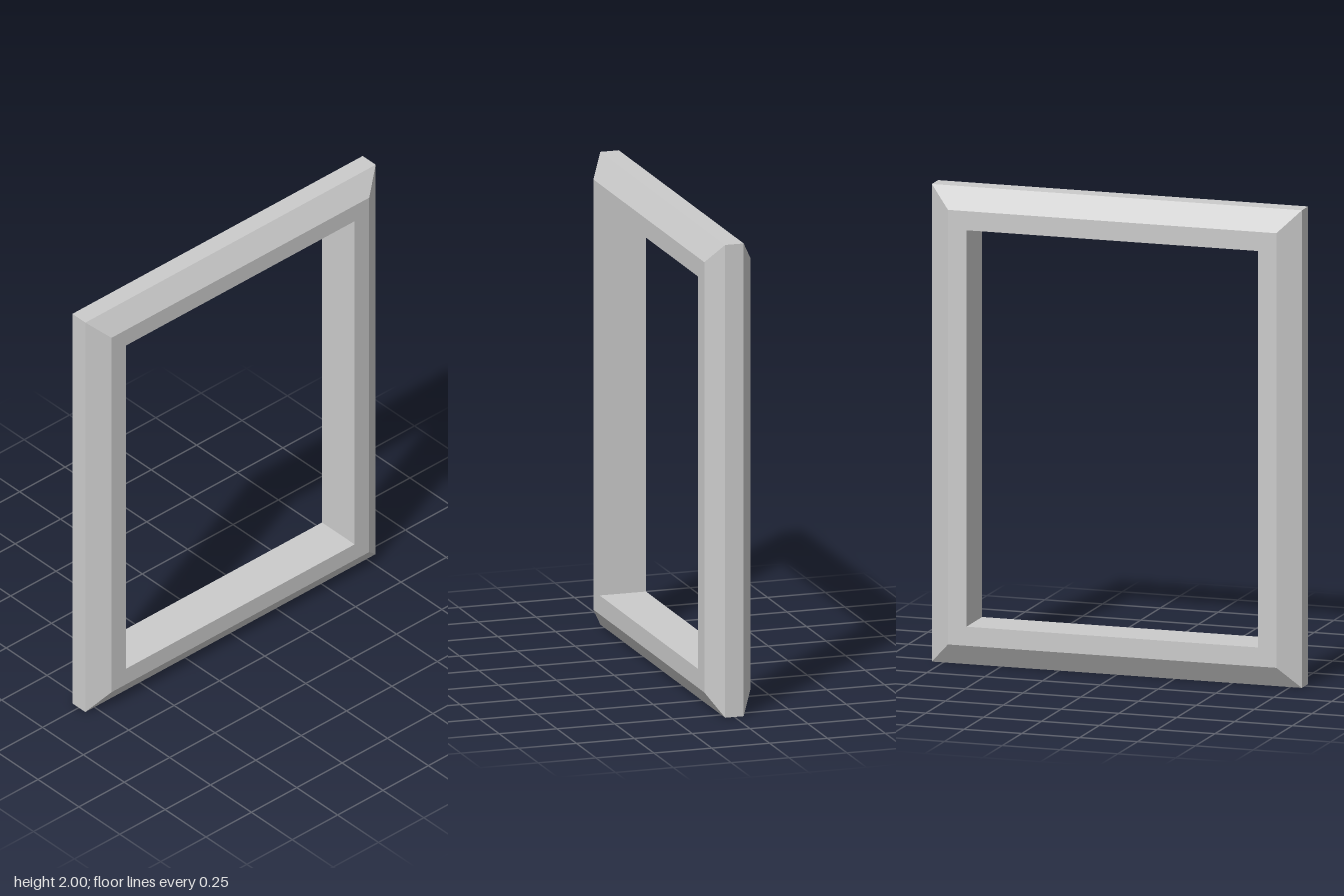
import * as THREE from 'three';

const HALF_W = 0.8, HALF_H = 1;

// Moulding cross-section: [inset from the outer edge, z]
const PROFILE = [[0, -0.04], [0, 0.04], [0.09, 0.1], [0.17, 0.1], [0.17, -0.1], [0.09, -0.1]];

// Frame corners, counter-clockwise seen from the front
const CORNERS = [[1, 1], [-1, 1], [-1, -1], [1, -1]];
const RAIL_NAMES = ['topRail', 'rightRail', 'bottomRail', 'leftRail'];

// Profile point carried to a mitred corner
function cornerPoint(corner, index) {
  const [sx, sy] = CORNERS[corner % 4];
  const [inset, z] = PROFILE[index % PROFILE.length];
  return [sx * (HALF_W - inset), HALF_H + sy * (HALF_H - inset), z];
}

// One mitred rail: the profile swept from one corner to the next
function railGeometry(corner) {
  const positions = [];
  for (let i = 0; i < PROFILE.length; i++) {
    const a = cornerPoint(corner, i), b = cornerPoint(corner + 1, i);
    const c = cornerPoint(corner + 1, i + 1), d = cornerPoint(corner, i + 1);
    positions.push(...a, ...b, ...c, ...a, ...c, ...d);
  }
  const geometry = new THREE.BufferGeometry();
  geometry.setAttribute('position', new THREE.Float32BufferAttribute(positions, 3));
  geometry.computeVertexNormals();
  return geometry;
}

export function createModel() {
  const frame = new THREE.Group();
  frame.name = 'frame';
  const material = new THREE.MeshStandardMaterial({ color: 0xcccccc, flatShading: true });
  RAIL_NAMES.forEach((name, corner) => {
    const rail = new THREE.Mesh(railGeometry(corner), material);
    rail.name = name;
    frame.add(rail);
  });
  return frame;
}
